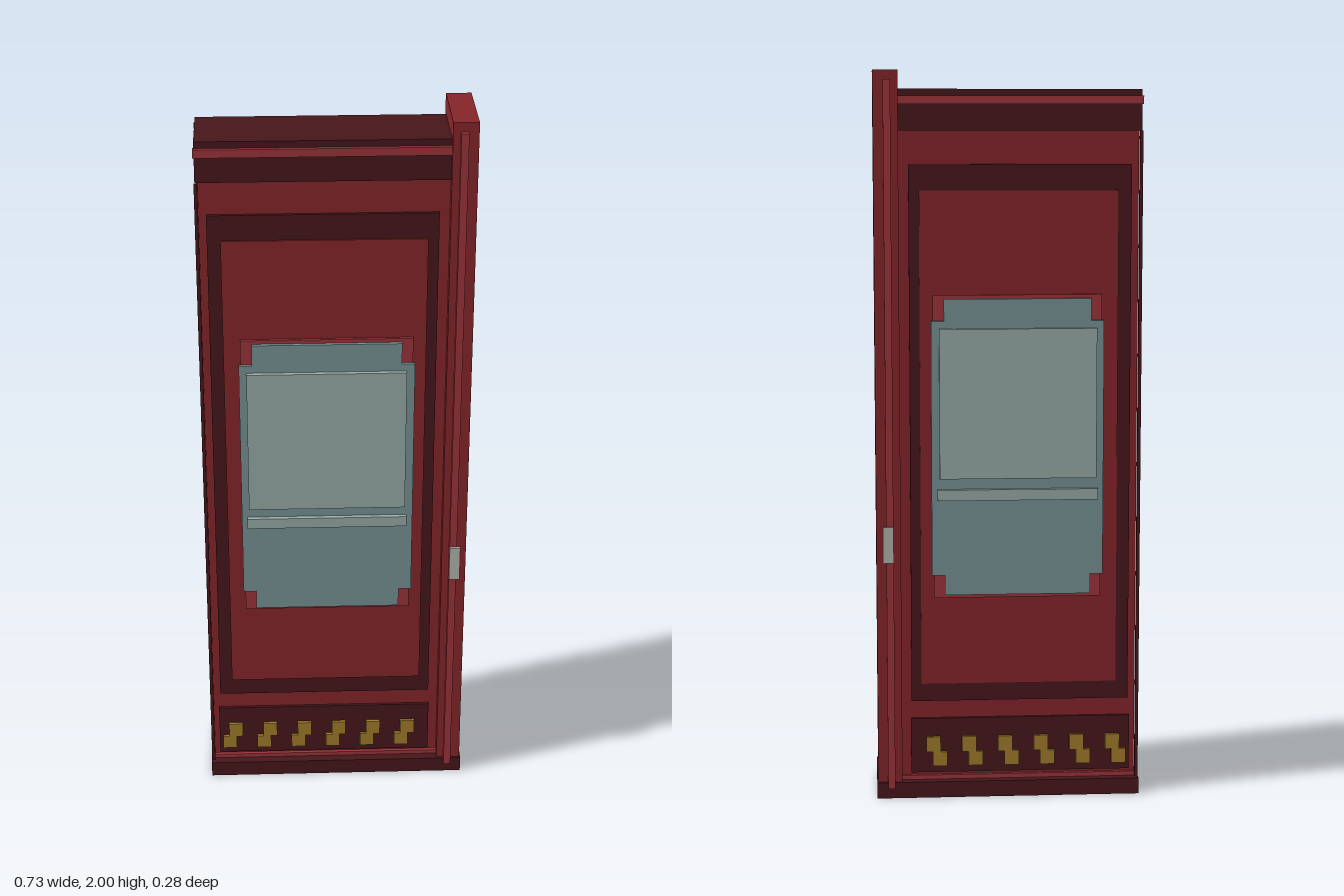
import * as THREE from 'three';

const mat = (color) => new THREE.MeshStandardMaterial({ color });
const red = mat(0x84252a), dark = mat(0x46161a), trim = mat(0x9c343b);
const teal = mat(0x789294), pale = mat(0x97aca8), gold = mat(0xa07c2a), metal = mat(0xb5b5ae);

export function createModel() {
  const model = new THREE.Group();

  // Box given by its min and max along each axis
  function box(parent, name, m, x0, x1, y0, y1, z0, z1) {
    const mesh = new THREE.Mesh(new THREE.BoxGeometry(x1 - x0, y1 - y0, z1 - z0), m);
    mesh.position.set((x0 + x1) / 2, (y0 + y1) / 2, (z0 + z1) / 2);
    mesh.name = name;
    parent.add(mesh);
  }
  // Flat plate repeated on the front and the back
  function pair(parent, name, m, x0, x1, y0, y1, z0, z1) {
    box(parent, name + 'Front', m, x0, x1, y0, y1, z0, z1);
    box(parent, name + 'Back', m, x0, x1, y0, y1, -z1, -z0);
  }
  function group(name) {
    const g = new THREE.Group();
    g.name = name;
    model.add(g);
    return g;
  }

  // Cabinet: base, core and header
  box(model, 'base', dark, -0.365, 0.365, 0, 0.045, -0.123, 0.123);
  box(model, 'core', red, -0.355, 0.3, 0.04, 1.86, -0.088, 0.088);
  box(model, 'header', dark, -0.362, 0.297, 1.84, 1.95, -0.096, 0.096);
  pair(model, 'headerTrim', trim, -0.365, 0.297, 1.91, 1.932, 0.09, 0.107);
  pair(model, 'baseTrim', trim, -0.355, 0.297, 0.045, 0.057, 0.085, 0.098);
  pair(model, 'cornerRail', dark, -0.364, -0.355, 0.045, 1.84, 0.098, 0.107);

  // Tall side post with rails and handles
  const post = group('sidePost');
  box(post, 'postBody', red, 0.295, 0.362, 0.04, 2, -0.117, 0.117);
  pair(post, 'postRail', trim, 0.315, 0.335, 0.03, 1.975, 0.115, 0.132);
  pair(post, 'handle', metal, 0.315, 0.344, 0.67, 0.77, 0.131, 0.141);

  // Large framed panel: four dark borders round a raised field
  const panel = group('mainPanel');
  pair(panel, 'frameBottom', dark, -0.335, 0.268, 0.27, 0.32, 0.085, 0.096);
  pair(panel, 'frameTop', dark, -0.335, 0.268, 1.68, 1.75, 0.085, 0.096);
  pair(panel, 'frameRight', dark, -0.335, -0.3, 0.32, 1.68, 0.085, 0.096);
  pair(panel, 'frameLeft', dark, 0.24, 0.268, 0.32, 1.68, 0.085, 0.096);
  pair(panel, 'field', red, -0.3, 0.24, 0.32, 1.68, 0.085, 0.1);

  // Window: backing plate, notched pane, screen and bar
  const win = group('window');
  pair(win, 'backingPlate', trim, -0.255, 0.205, 0.565, 1.4, 0.098, 0.108);
  const paneShape = new THREE.Shape([
    [-0.225, 0.575], [0.175, 0.575], [0.175, 0.63], [0.21, 0.63], [0.21, 1.33], [0.175, 1.33],
    [0.175, 1.39], [-0.225, 1.39], [-0.225, 1.33], [-0.26, 1.33], [-0.26, 0.63], [-0.225, 0.63],
  ].map(([x, y]) => new THREE.Vector2(x, y)));
  const paneGeometry = new THREE.ExtrudeGeometry(paneShape, { depth: 0.01, bevelEnabled: false });
  for (const [name, z] of [['paneFront', 0.109], ['paneBack', -0.119]]) {
    const pane = new THREE.Mesh(paneGeometry, teal);
    pane.position.z = z;
    pane.name = name;
    win.add(pane);
  }
  pair(win, 'screen', pale, -0.24, 0.188, 0.9, 1.31, 0.118, 0.132);
  pair(win, 'bar', pale, -0.245, 0.194, 0.84, 0.87, 0.118, 0.132);

  // Kick panel with a row of stepped ornaments
  const kick = group('kickPanel');
  pair(kick, 'kickPlate', dark, -0.34, 0.27, 0.065, 0.22, 0.085, 0.096);
  for (let i = 0; i < 6; i++) {
    const x = -0.33 + i * 0.1;
    pair(kick, 'ornamentLower', gold, x, x + 0.04, 0.085, 0.125, 0.094, 0.105);
    pair(kick, 'ornamentUpper', gold, x + 0.018, x + 0.058, 0.125, 0.168, 0.094, 0.105);
  }
  return model;
}
